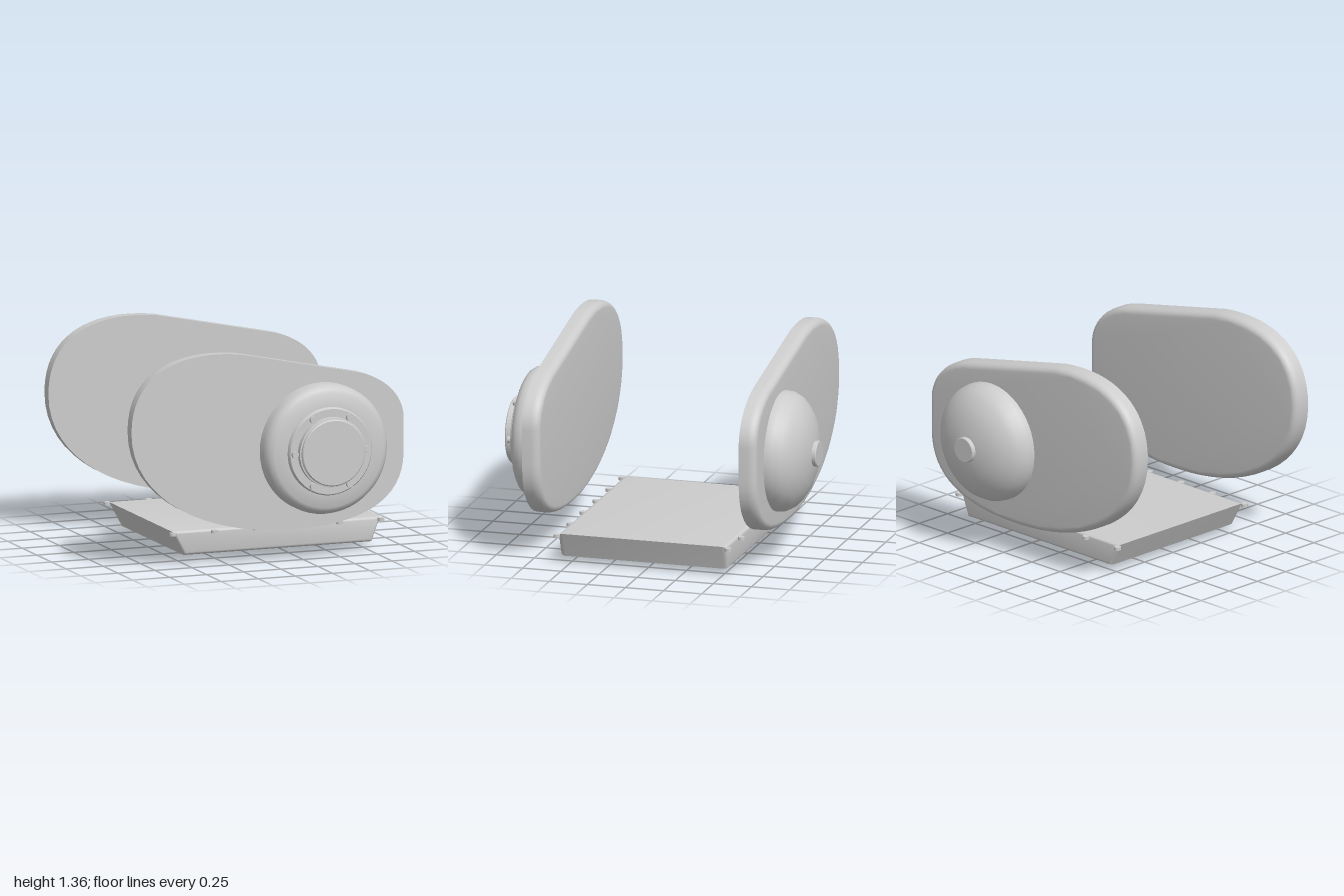
import * as THREE from 'three';
import { toCreasedNormals } from 'three/addons/utils/BufferGeometryUtils.js';

export function createModel() {
  const model = new THREE.Group();
  model.name = 'engineCovers';
  const metal = new THREE.MeshStandardMaterial({ color: 0xcccccc });
  metal.name = 'lightGreyMetal';

  const add = (name, geometry, parent = model) => {
    const mesh = new THREE.Mesh(geometry, metal);
    mesh.name = name;
    parent.add(mesh);
    return mesh;
  };
  const group = (name) => {
    const g = new THREE.Group();
    g.name = name;
    model.add(g);
    return g;
  };
  // Turned part along z: points are [radius, distance from centre]
  const turned = (points, direction) => {
    const g = new THREE.LatheGeometry(points.map(([r, d]) => new THREE.Vector2(r, d)), 48);
    g.rotateX(direction * Math.PI / 2);
    return toCreasedNormals(g, 0.7);
  };

  // Side plates: egg-shaped outline, rounded on the rear edge only
  const outline = new THREE.Shape();
  outline.moveTo(-0.19, 1.345);
  outline.lineTo(0.57, 1.185);
  outline.bezierCurveTo(0.80, 1.14, 0.915, 1.0, 0.915, 0.87);
  outline.lineTo(0.915, 0.65);
  outline.bezierCurveTo(0.915, 0.33, 0.62, 0.20, 0.15, 0.205);
  outline.bezierCurveTo(-0.40, 0.20, -0.92, 0.45, -0.92, 0.89);
  outline.bezierCurveTo(-0.92, 1.25, -0.62, 1.40, -0.19, 1.345);
  const bevel = 0.055, thickness = 0.11;
  const plate = new THREE.ExtrudeGeometry(outline, {
    depth: thickness - bevel, curveSegments: 16,
    bevelThickness: bevel, bevelSize: 0.04, bevelOffset: -0.04, bevelSegments: 5,
  });
  plate.translate(0, 0, bevel);
  // Flatten the front bevel into the front face
  const pos = plate.attributes.position;
  for (let i = 0; i < pos.count; i++) pos.setZ(i, Math.min(pos.getZ(i), thickness));
  const plateGeometry = toCreasedNormals(plate, 0.6);
  add('frontPlate', plateGeometry).position.z = 0.67;
  add('rearPlate', plateGeometry).position.z = -0.75;

  // Round front cover with stepped cap and bolts
  const front = group('frontCover');
  front.position.set(0.36, 0.715, 0);
  add('coverDrum', turned([[0.415, 0.77], [0.415, 0.84], [0.407, 0.872], [0.39, 0.895],
    [0.365, 0.91], [0.27, 0.914]], 1), front);
  add('coverRing', turned([[0.28, 0.90], [0.28, 0.935], [0.272, 0.945], [0.2, 0.945]], 1), front);
  add('coverCap', turned([[0.222, 0.94], [0.222, 0.978], [0.212, 0.98], [0.212, 0.994],
    [0.206, 1.0], [0, 1.0]], 1), front);
  const boltGeometry = new THREE.CylinderGeometry(0.022, 0.022, 0.025, 16);
  for (let i = 0; i < 6; i++) {
    const a = i * Math.PI / 3;
    const bolt = add('coverBolt', boltGeometry, front);
    bolt.position.set(0.245 * Math.cos(a), 0.245 * Math.sin(a), 0.955);
    bolt.rotation.x = Math.PI / 2;
  }

  // Rear dome with a small boss
  const rear = group('rearCover');
  rear.position.set(0.36, 0.716, 0);
  add('rearDome', turned([[0.383, 0.74], [0.383, 0.755], [0.378, 0.80], [0.352, 0.85],
    [0.315, 0.886], [0.26, 0.922], [0.19, 0.951], [0.08, 0.973], [0, 0.976]], -1), rear);
  add('rearBoss', turned([[0.082, 0.96], [0.082, 0.995], [0.077, 1.0], [0, 1.0]], -1), rear);

  // Sump: tapered tray with softened ends
  const tray = new THREE.Shape([[-0.56, 0.2], [-0.475, 0.042], [0.79, 0.042], [0.85, 0.2]]
    .map(([x, y]) => new THREE.Vector2(x, y)));
  const pan = new THREE.ExtrudeGeometry(tray, {
    depth: 1.04, bevelThickness: 0.03, bevelSize: 0.022, bevelOffset: -0.022, bevelSegments: 4,
  });
  pan.translate(0, 0, -0.505);
  add('sumpPan', toCreasedNormals(pan, 0.6));

  // Sump bolts along both long edges
  const panBolt = new THREE.CylinderGeometry(0.022, 0.022, 0.02, 16);
  for (const z of [-0.55, 0.574]) {
    for (let i = 0; i < 6; i++) {
      add('sumpBolt', panBolt).position.set(-0.56 + i * 0.281, 0.185, z);
    }
  }

  // Hexagonal drain plug
  const plug = new THREE.CylinderGeometry(0.051, 0.051, 0.05, 6);
  plug.rotateY(Math.PI / 2);
  add('drainPlug', toCreasedNormals(plug, 0.5)).position.set(0.143, 0.025, 0.018);

  return model;
}
